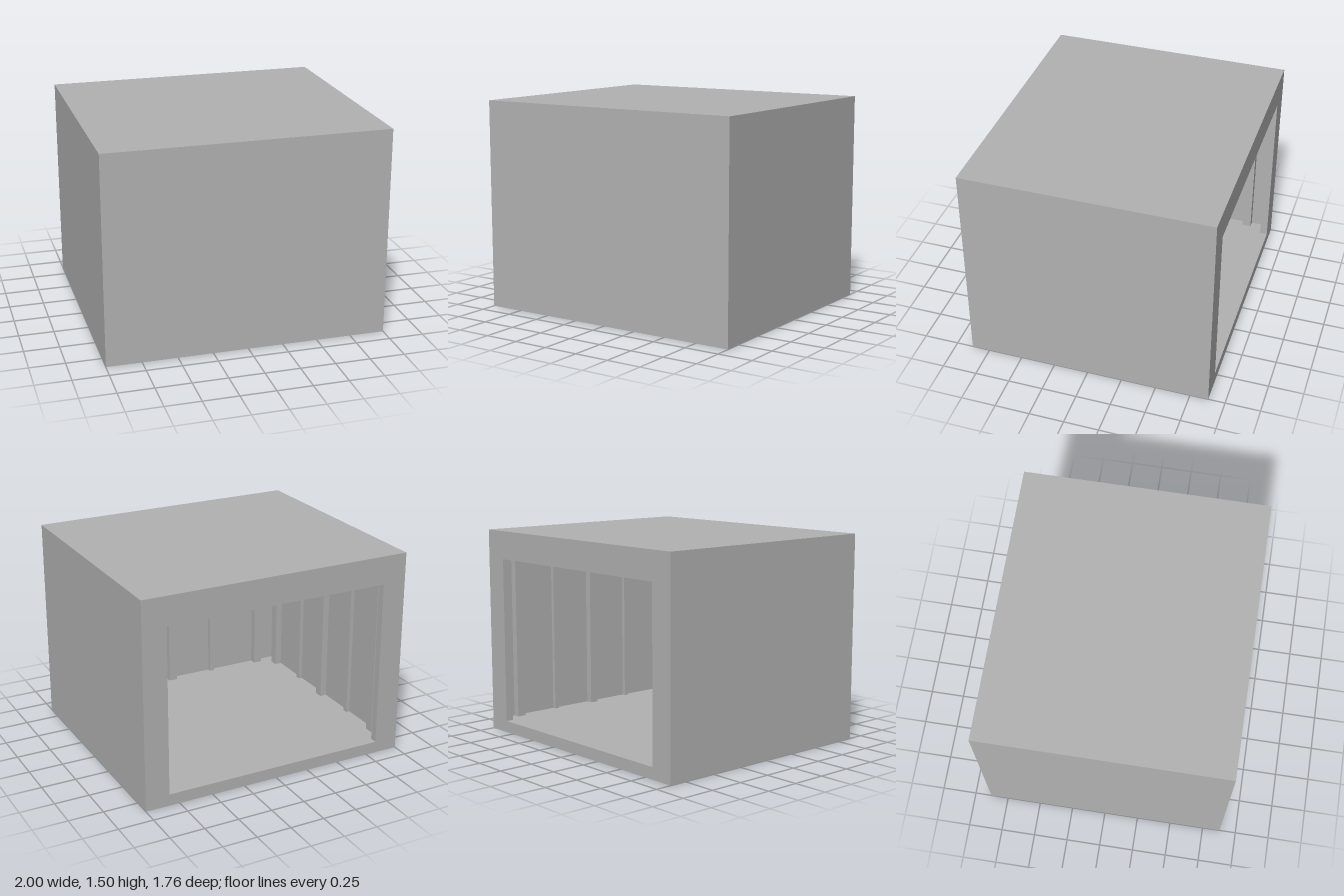
import * as THREE from 'three';

// Overall half sizes, height and interior limits
const W = 1, H = 1.5, D = 0.88;
const IN_X = 0.935, IN_Z = 0.825, FLOOR = 0.085, CEILING = 1.415;

export function createModel() {
  const model = new THREE.Group();
  model.name = 'openRoom';
  const grey = new THREE.MeshStandardMaterial({ color: 0xb2b2b2 });
  grey.name = 'plain grey';

  // Box given by its lower and upper corners
  function block(name, [x0, y0, z0], [x1, y1, z1]) {
    const mesh = new THREE.Mesh(new THREE.BoxGeometry(x1 - x0, y1 - y0, z1 - z0), grey);
    mesh.position.set((x0 + x1) / 2, (y0 + y1) / 2, (z0 + z1) / 2);
    mesh.name = name;
    model.add(mesh);
  }

  // Shell
  block('floor', [-W, 0, -D], [W, FLOOR, D]);
  block('roof', [-W, CEILING, -D], [W, H, D]);
  block('leftWall', [IN_X, FLOOR, -IN_Z], [W, CEILING, D]);
  block('rightWall', [-W, FLOOR, -IN_Z], [-IN_X, CEILING, D]);
  block('frontWall', [-IN_X, FLOOR, IN_Z], [IN_X, CEILING, D]);

  // Back wall: two jambs and a header around the wide opening
  const openX = 0.825, openTop = 1.295;
  block('leftJamb', [openX, FLOOR, -D], [W, CEILING, -IN_Z]);
  block('rightJamb', [-W, FLOOR, -D], [-openX, CEILING, -IN_Z]);
  block('header', [-openX, openTop, -D], [openX, CEILING, -IN_Z]);

  // Wall uprights: wide posts alternating with thin studs
  const post = { name: 'post', half: 0.0325, depth: 0.05 };
  const stud = { name: 'stud', half: 0.018, depth: 0.028 };
  const sideUprights = [[-0.7, post], [-0.35, stud], [0, post], [0.35, stud], [0.7, post]];
  for (const [z, u] of sideUprights) {
    block('left ' + u.name, [IN_X - u.depth, FLOOR, z - u.half], [IN_X, CEILING, z + u.half]);
    block('right ' + u.name, [-IN_X, FLOOR, z - u.half], [-IN_X + u.depth, CEILING, z + u.half]);
  }
  const frontUprights = [[-0.775, post], [-0.36, stud], [0, post], [0.36, stud], [0.775, post]];
  for (const [x, u] of frontUprights) {
    block('front ' + u.name, [x - u.half, FLOOR, IN_Z - u.depth], [x + u.half, CEILING, IN_Z]);
  }

  // Ceiling beams running across the room
  for (const z of [-0.63, -0.21, 0.21, 0.63]) {
    block('ceilingBeam', [-IN_X, 1.355, z - 0.0325], [IN_X, CEILING, z + 0.0325]);
  }
  return model;
}
